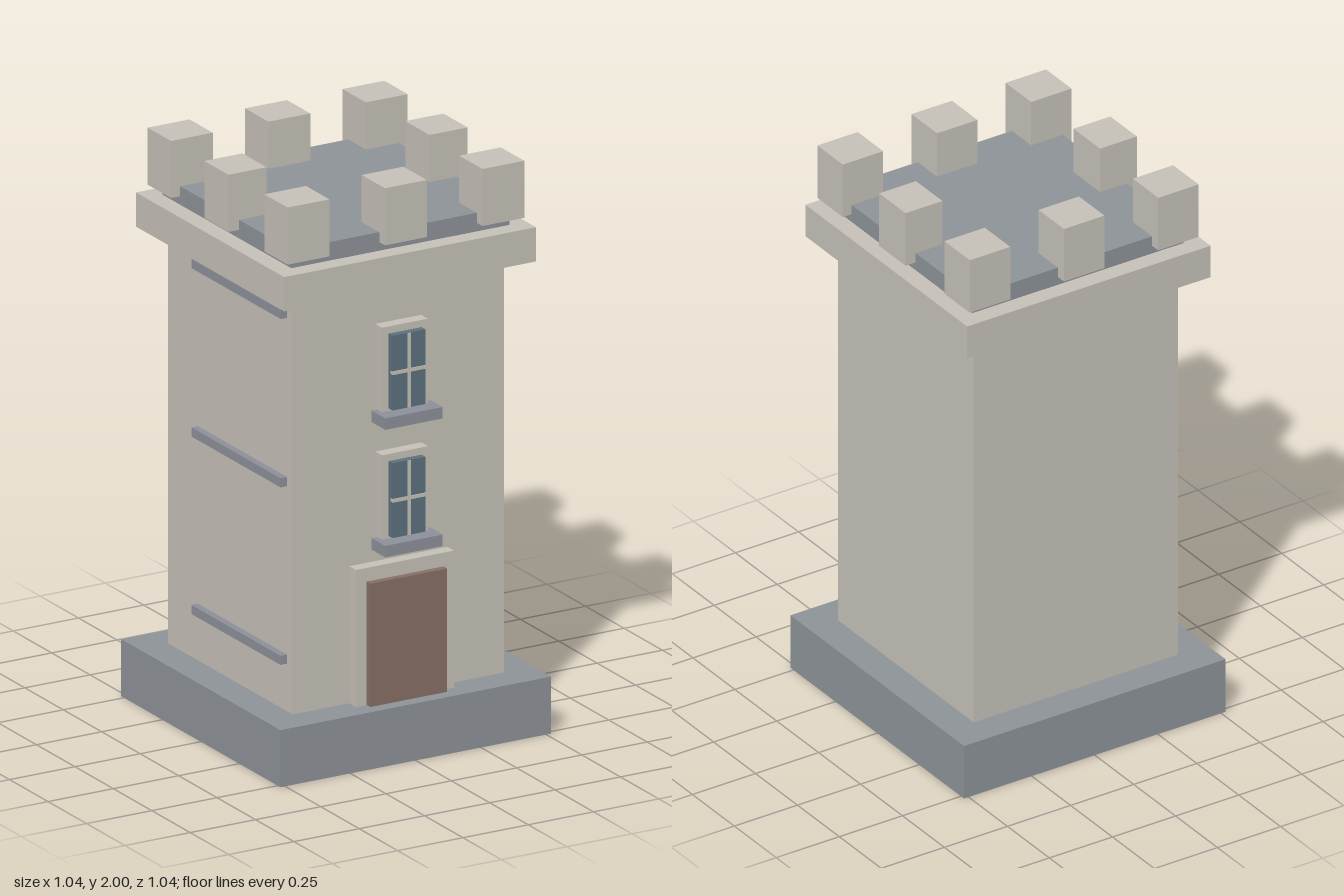
import * as THREE from 'three';

const material = (name, color) => {
  const m = new THREE.MeshStandardMaterial({ color });
  m.name = name;
  return m;
};

export function createModel() {
  const tower = new THREE.Group();
  tower.name = 'tower';

  const stone = material('pale stone', 0xc5c1b8);
  const slate = material('slate grey', 0x8d9398);
  const ledge = material('ledge grey', 0x8c9099);
  const wood = material('door brown', 0x876f65);
  const glass = material('window blue', 0x5c717e);

  // Box given by its lower and upper limits on each axis
  const box = (parent, name, mat, [x0, x1], [y0, y1], [z0, z1]) => {
    const mesh = new THREE.Mesh(new THREE.BoxGeometry(x1 - x0, y1 - y0, z1 - z0), mat);
    mesh.position.set((x0 + x1) / 2, (y0 + y1) / 2, (z0 + z1) / 2);
    mesh.name = name;
    parent.add(mesh);
    return mesh;
  };
  const span = (half, centre = 0) => [centre - half, centre + half];

  // Stacked square masses
  box(tower, 'plinth', slate, span(0.518), [0, 0.2], span(0.518));
  box(tower, 'shaft', stone, span(0.405), [0.2, 1.65], span(0.405));
  box(tower, 'cornice', stone, span(0.482), [1.65, 1.77], span(0.482));
  box(tower, 'roofDeck', slate, span(0.418), [1.77, 1.835], span(0.418));

  // Battlements: three along front and back, one in the middle of each side
  const battlements = new THREE.Group();
  battlements.name = 'battlements';
  tower.add(battlements);
  for (const side of [-1, 1]) {
    for (const x of [-0.373, 0, 0.373]) {
      box(battlements, 'merlon', stone, span(0.08, x), [1.8, 2], span(0.076, side * 0.379));
    }
    box(battlements, 'sideMerlon', stone, span(0.073, side * 0.385), [1.8, 2], span(0.079));
  }

  // Door with its surround
  box(tower, 'doorSurround', stone, span(0.188), [0.2, 0.68], [0.4, 0.449]);
  box(tower, 'door', wood, span(0.147), [0.2, 0.632], [0.44, 0.473]);

  // Two windows with glazing bars and projecting sills
  for (const y of [0.908, 1.355]) {
    const win = new THREE.Group();
    win.name = 'window';
    win.position.y = y;
    tower.add(win);
    box(win, 'windowFrame', stone, span(0.088), span(0.156), [0.4, 0.449]);
    box(win, 'pane', glass, span(0.063), span(0.131), [0.44, 0.474]);
    box(win, 'verticalBar', stone, span(0.006), span(0.13), [0.463, 0.478]);
    box(win, 'horizontalBar', stone, span(0.064), span(0.006), [0.463, 0.478]);
    box(win, 'sill', ledge, span(0.11), [-0.18, -0.14], [0.418, 0.507]);
  }

  // Thin ledges on the right wall
  for (const y of [0.383, 1.005, 1.595]) {
    box(tower, 'wallLedge', ledge, [-0.43, -0.4], span(0.016, y), [-0.21, 0.37]);
  }

  return tower;
}
